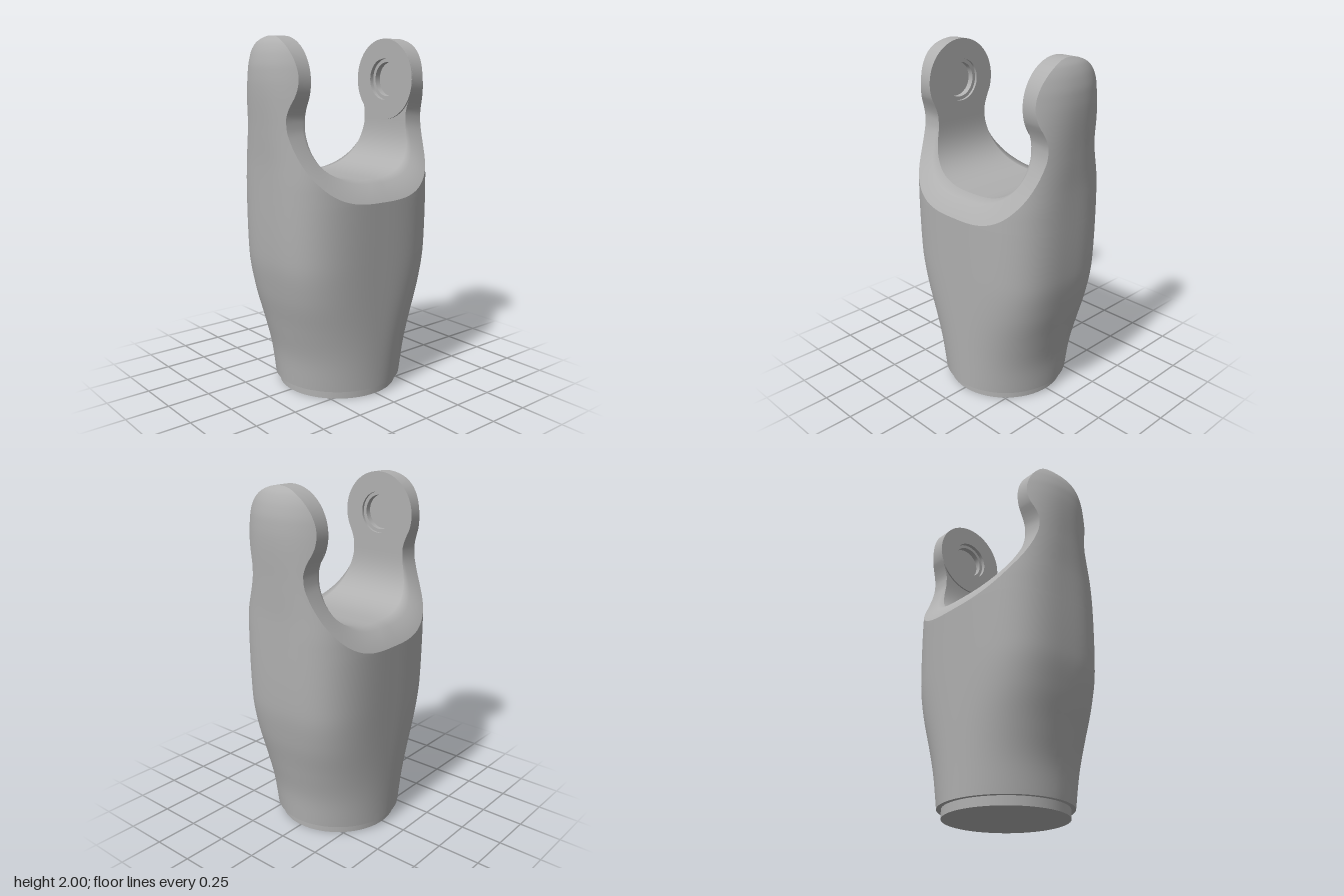
import * as THREE from 'three';
import { mergeGeometries, mergeVertices, toCreasedNormals } from 'three/addons/utils/BufferGeometryUtils.js';

// Smooth monotone interpolation through [y, value] pairs
function curve(pts) {
  const n = pts.length;
  const d = pts.slice(1).map((p, i) => (p[1] - pts[i][1]) / (p[0] - pts[i][0]));
  const m = pts.map((_, i) => {
    if (i === 0) return d[0];
    if (i === n - 1) return d[n - 2];
    return d[i - 1] * d[i] <= 0 ? 0 : (2 * d[i - 1] * d[i]) / (d[i - 1] + d[i]);
  });
  return (y) => {
    if (y <= pts[0][0]) return pts[0][1];
    if (y >= pts[n - 1][0]) return pts[n - 1][1];
    let i = 0;
    while (y > pts[i + 1][0]) i++;
    const h = pts[i + 1][0] - pts[i][0], t = (y - pts[i][0]) / h, t2 = t * t, t3 = t2 * t;
    return (2 * t3 - 3 * t2 + 1) * pts[i][1] + (t3 - 2 * t2 + t) * h * m[i]
      + (3 * t2 - 2 * t3) * pts[i + 1][1] + (t3 - t2) * h * m[i + 1];
  };
}

// Surface through rows of [x, y, z]; it faces rowDirection x columnDirection
function grid(rows) {
  const cols = rows[0].length, index = [];
  for (let r = 0; r < rows.length - 1; r++) {
    for (let c = 0; c < cols - 1; c++) {
      const a = r * cols + c, b = a + 1, d = a + cols, e = d + 1;
      index.push(a, d, b, b, d, e);
    }
  }
  const g = new THREE.BufferGeometry();
  g.setAttribute('position', new THREE.Float32BufferAttribute(rows.flat(2), 3));
  g.setIndex(index);
  return g;
}

// Join a front half with its half-turned copy
function bothHalves(g) {
  const whole = mergeVertices(mergeGeometries([g, g.clone().rotateY(Math.PI)]), 1e-5);
  whole.computeVertexNormals();
  return whole;
}

const RIM = 1.12, HEAD_Y = 1.765, HEAD_R = 0.235, SLOT_Z = 0.365, FLOOR = 1.23;

// Body section: half width, half depth and squareness at each height
const halfX = curve([[0.05, 0.37], [0.5, 0.382], [RIM, 0.395]]);
const halfZ = curve([[0.05, 0.37], [0.2, 0.382], [0.4, 0.422], [0.6, 0.467], [0.8, 0.495], [1, 0.502],
  [1.3, 0.506], [1.5, 0.515], [1.75, 0.526], [1.83, 0.522], [1.9, 0.508], [1.96, 0.483], [2, 0.45]]);
const power = curve([[0.05, 2], [0.3, 2.3], [0.8, 3.1], [1.2, 3], [1.5, 2.5], [1.8, 2.2], [2, 2.1]]);
const shoulder = curve([[RIM, 0.395], [FLOOR, 0.33], [1.35, 0.255], [1.45, 0.205], [1.52, 0.183],
  [1.57, 0.18], [1.62, 0.192], [1.68, 0.219]]);

// Front outline half width: body, shoulder and neck, then the round head
function width(y) {
  if (y <= RIM) return halfX(y);
  if (y < 1.68) return shoulder(y);
  return Math.sqrt(Math.max(0, HEAD_R ** 2 - (y - HEAD_Y) ** 2));
}
function bodyZ(x, y) {
  const n = power(y);
  return halfZ(y) * Math.max(0, 1 - Math.pow(Math.min(1, Math.abs(x) / halfX(y)), n)) ** (1 / n);
}
// Depth of the U slot at a height
function slotZ(y) {
  const k = Math.min(1, Math.max(0, (1.55 - y) / (1.55 - FLOOR)));
  return SLOT_Z * Math.pow(Math.max(0, 1 - Math.pow(k, 2.7)), 1 / 2.7);
}

export function createModel() {
  const group = new THREE.Group();
  const grey = new THREE.MeshStandardMaterial({ color: 0xb0b0b0 });
  grey.name = 'grey';
  const add = (name, geometry) => {
    const mesh = new THREE.Mesh(geometry, grey);
    mesh.name = name;
    group.add(mesh);
    return mesh;
  };

  // Heights of the rim and ear edge, dense near the rim and the head top
  const edgeY = [];
  for (let i = 0; i <= 40; i++) edgeY.push(RIM + 0.56 * (i / 40) ** 2);
  const a0 = Math.asin((1.68 - HEAD_Y) / HEAD_R);
  for (let i = 1; i <= 28; i++) edgeY.push(HEAD_Y + HEAD_R * Math.sin(a0 + (Math.PI / 2 - a0) * i / 28));

  // Outer skin of body and ears
  const lowY = Array.from({ length: 30 }, (_, i) => 0.05 + (RIM - 0.05) * i / 30);
  const skin = [...lowY, ...edgeY].map((y) => {
    const row = [];
    for (let c = 24; c >= -24; c--) {
      const x = width(y) * Math.sign(c) * (1 - (1 - Math.abs(c) / 24) ** 3);
      row.push([x, y, bodyZ(x, y)]);
    }
    return row;
  });
  add('body', bothHalves(grid(skin)));

  // Edge band: outer rim, soft shoulder line, slot edge
  const outer = [], mid = [], inner = [];
  for (const y of edgeY) {
    const yi = y > 1.6 ? y : FLOOR + (1.6 - FLOOR) * (y - RIM) / (1.6 - RIM);
    const k = Math.max(0, (1.6 - yi) / (1.6 - FLOOR)), zi = slotZ(yi);
    outer.push([width(y), y, bodyZ(width(y), y)]);
    mid.push([width(yi), yi - 0.012 * k, zi * 1.05]);
    inner.push([width(yi) - 0.07 * k * k, yi, zi]);
  }
  const flip = ([x, y, z]) => [-x, y, z];
  const around = (line) => [...line, ...line.slice(0, -1).reverse().map(flip)];
  add('rimAndEarEdges', bothHalves(grid([around(outer), around(mid), around(inner)])));

  // U-shaped slot floor, up to where the ears become flat
  const flat = inner.findIndex((p) => p[1] >= 1.55);
  const slot = inner.slice(0, flat + 1).map(([x, y, z]) =>
    Array.from({ length: 9 }, (_, c) => [x * (c / 4 - 1), y, z]));
  add('slot', bothHalves(grid(slot)));

  // Flat inner ear faces with a round hole
  const hole = new THREE.Path().absarc(0, HEAD_Y, 0.12, 0, Math.PI * 2, true);
  const faceLine = inner.slice(flat);
  const face = new THREE.Shape([...faceLine, ...faceLine.slice(0, -1).reverse().map(flip)]
    .map(([x, y]) => new THREE.Vector2(x, y)));
  face.holes.push(hole);
  const faceGeometry = new THREE.ShapeGeometry(face, 24).rotateY(Math.PI).translate(0, 0, SLOT_Z);
  add('earInnerFaces', bothHalves(faceGeometry));

  // Stepped blind pin sockets
  const profile = [[0.12, 0], [0.12, -0.015], [0.1, -0.015], [0.1, -0.05], [0, -0.05]]
    .map(([r, h]) => new THREE.Vector2(r, h));
  const socket = toCreasedNormals(new THREE.LatheGeometry(profile, 48), 0.6)
    .rotateX(-Math.PI / 2).translate(0, HEAD_Y, SLOT_Z);
  add('frontPinSocket', socket);
  add('backPinSocket', socket.clone().rotateY(Math.PI));

  // Raised washer on the back ear
  const washer = new THREE.Shape().absarc(0, HEAD_Y, HEAD_R, 0, Math.PI * 2, false);
  washer.holes.push(hole);
  add('backWasher', new THREE.ExtrudeGeometry(washer, { depth: 0.01, bevelEnabled: false, curveSegments: 32 }))
    .position.z = -SLOT_Z;

  // Stepped base
  add('baseStep', new THREE.RingGeometry(0.33, 0.37, 96).rotateX(Math.PI / 2)).position.y = 0.05;
  add('baseCollar', new THREE.CylinderGeometry(0.345, 0.345, 0.06, 64)).position.y = 0.03;

  return group;
}
